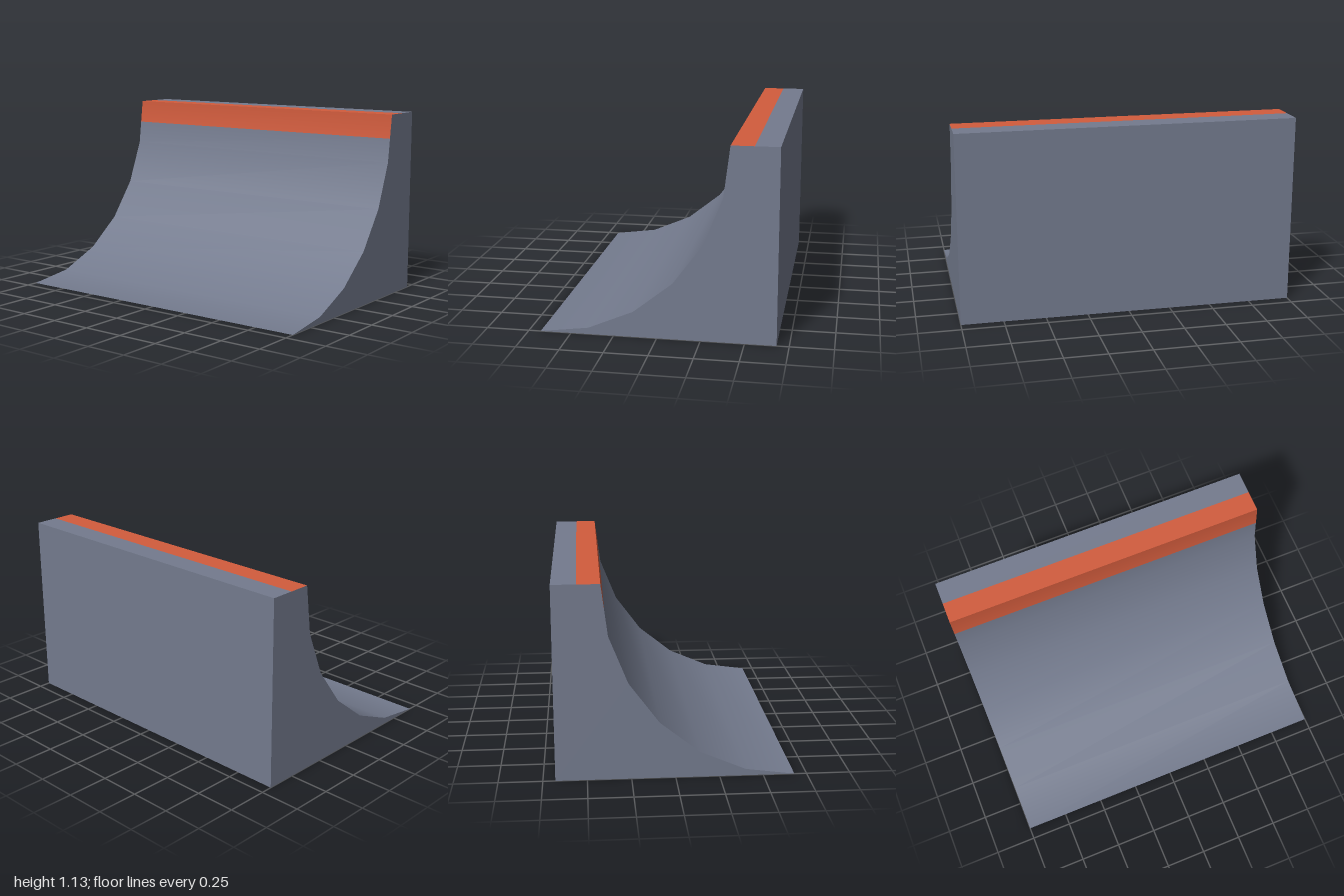
import * as THREE from 'three';

const HALF_WIDTH = 1, FRONT = 0.68, BACK = -0.68, RUN = 1.09, RISE = 1.13, STEPS = 6;

// Point on the transition curve, as { z, y, normal }
function curvePoint(i) {
  const a = (i / STEPS) * Math.PI / 2;
  return {
    z: FRONT - RUN * Math.sin(a),
    y: RISE * (1 - Math.cos(a)),
    normal: new THREE.Vector3(0, Math.cos(a) / RISE, Math.sin(a) / RUN).normalize(),
  };
}

// Sheet across the full width, following a side profile
function sheet(name, points, material) {
  const pos = [], nor = [], index = [];
  points.forEach((p, i) => {
    for (const x of [-HALF_WIDTH, HALF_WIDTH]) {
      pos.push(x, p.y, p.z);
      nor.push(...p.normal.toArray());
    }
    if (i > 0) {
      const a = (i - 1) * 2;
      index.push(a, a + 1, a + 3, a, a + 3, a + 2);
    }
  });
  const geometry = new THREE.BufferGeometry();
  geometry.setAttribute('position', new THREE.Float32BufferAttribute(pos, 3));
  geometry.setAttribute('normal', new THREE.Float32BufferAttribute(nor, 3));
  geometry.setIndex(index);
  const mesh = new THREE.Mesh(geometry, material);
  mesh.name = name;
  return mesh;
}

// Flat sheet between two profile points [z, y]
function flat(name, [z0, y0], [z1, y1], material) {
  const normal = new THREE.Vector3(0, z0 - z1, y1 - y0).normalize();
  return sheet(name, [{ z: z0, y: y0, normal }, { z: z1, y: y1, normal }], material);
}

export function createModel() {
  const group = new THREE.Group();
  group.name = 'quarterPipe';
  const concrete = new THREE.MeshStandardMaterial({ color: 0x747b8e });
  concrete.name = 'slate grey';
  const paint = new THREE.MeshStandardMaterial({ color: 0xd25c3d });
  paint.name = 'orange paint';

  // Curved riding surface, split where the lip stripe begins
  const curve = Array.from({ length: STEPS + 1 }, (_, i) => curvePoint(i));
  const below = curve[STEPS - 1], lip = curve[STEPS];
  const split = {
    z: (below.z + lip.z) / 2,
    y: (below.y + lip.y) / 2,
    normal: below.normal.clone().add(lip.normal).normalize(),
  };
  group.add(sheet('ridingSurface', [...curve.slice(0, STEPS), split], concrete));
  group.add(sheet('lipStripeFront', [split, lip], paint));

  // Deck, back and underside
  const stripeEnd = -0.54;
  group.add(flat('lipStripeTop', [lip.z, RISE], [stripeEnd, RISE], paint));
  group.add(flat('deck', [stripeEnd, RISE], [BACK, RISE], concrete));
  group.add(flat('backWall', [BACK, RISE], [BACK, 0], concrete));
  group.add(flat('underside', [BACK, 0], [FRONT, 0], concrete));

  // Side walls
  for (const side of [1, -1]) {
    const outline = [...curve, { z: BACK, y: RISE }, { z: BACK, y: 0 }];
    const shape = new THREE.Shape(outline.map((p) => new THREE.Vector2(-side * p.z, p.y)));
    const wall = new THREE.Mesh(new THREE.ShapeGeometry(shape), concrete);
    wall.rotation.y = side * Math.PI / 2;
    wall.position.x = side * HALF_WIDTH;
    wall.name = side > 0 ? 'leftSideWall' : 'rightSideWall';
    group.add(wall);
  }
  return group;
}
